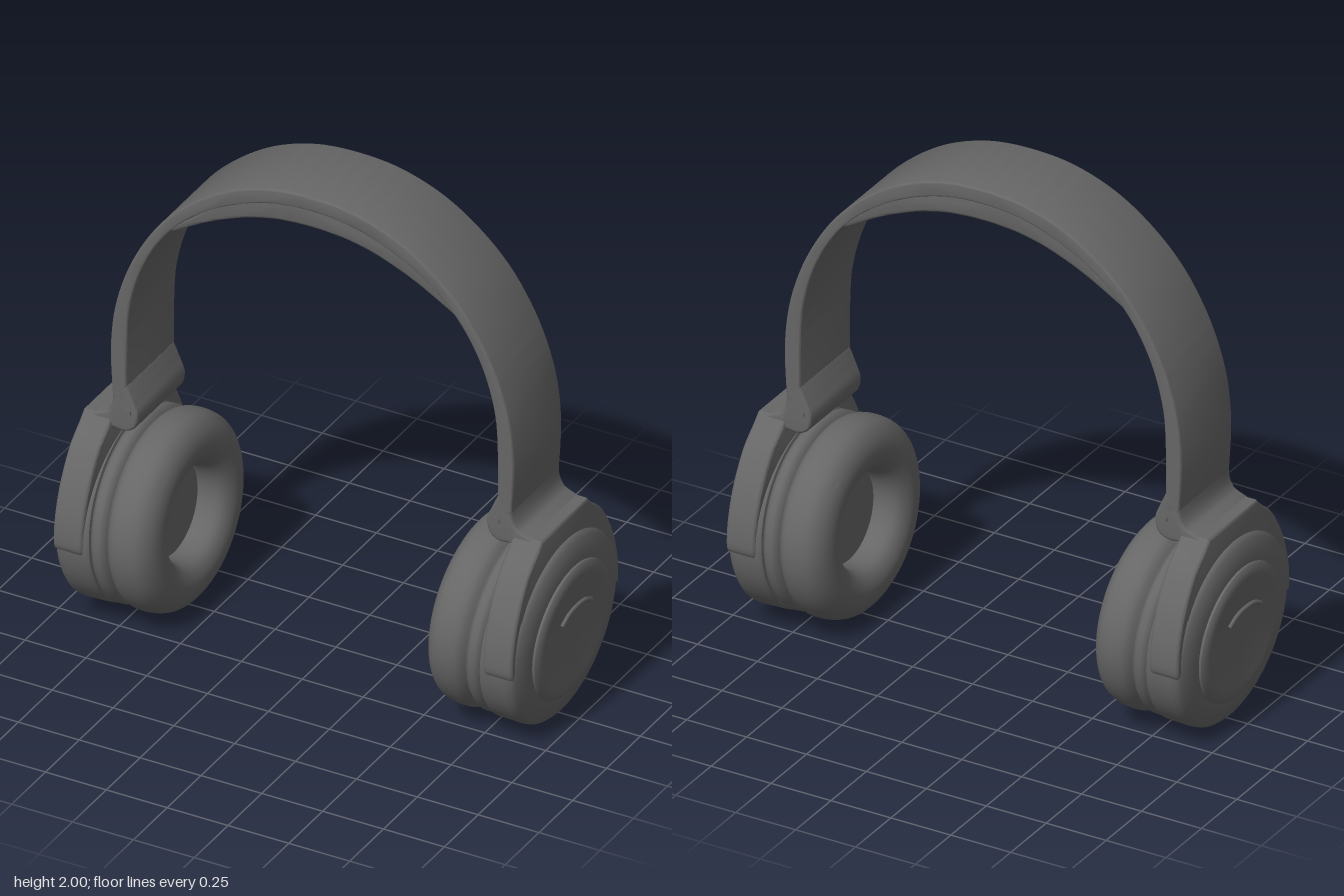
import * as THREE from 'three';
import { toCreasedNormals } from 'three/addons/utils/BufferGeometryUtils.js';

const V = (x, y) => new THREE.Vector2(x, y);
const spline = (pts, n) => new THREE.SplineCurve(pts.map(p => V(p[0], p[1]))).getPoints(n);
// full arch from the points of its right half (first point on the centre line)
const arch = (half, n = 80) => spline(
  [...half.slice(1).reverse().map(([x, y]) => [-x, y]), ...half], n);

function extrude(points, depth, bevel) {
  const g = new THREE.ExtrudeGeometry(new THREE.Shape(points), {
    depth: depth - 2 * bevel, bevelThickness: bevel, bevelSize: bevel,
    bevelOffset: -bevel, bevelSegments: 3, curveSegments: 24,
  });
  g.translate(0, 0, -depth / 2 + bevel);
  return toCreasedNormals(g, 0.7);
}

export function createModel() {
  const model = new THREE.Group();
  model.name = 'headphones';
  const grey = new THREE.MeshStandardMaterial({ color: 0x666666 });
  grey.name = 'dark grey';
  const add = (parent, name, geometry) => {
    const mesh = new THREE.Mesh(geometry, grey);
    mesh.name = name;
    parent.add(mesh);
    return mesh;
  };

  // Headband: a thin arch
  const outer = arch([[0, 2], [0.2, 1.978], [0.4, 1.895], [0.59, 1.74], [0.72, 1.55],
    [0.8, 1.34], [0.828, 1.13], [0.818, 0.9]]);
  const inner = arch([[0, 1.94], [0.2, 1.915], [0.4, 1.83], [0.57, 1.695], [0.685, 1.52],
    [0.748, 1.32], [0.762, 1.12], [0.762, 0.9]]);
  add(model, 'headband', extrude([...outer, ...inner.reverse()], 0.36, 0.008));

  // Padding under the crown
  const padTop = arch([[0, 1.97], [0.2, 1.945], [0.4, 1.86], [0.6, 1.695]], 40);
  const padBottom = arch([[0, 1.87], [0.2, 1.85], [0.4, 1.778], [0.61, 1.66]], 40);
  add(model, 'headbandPad', extrude([...padTop, ...padBottom.reverse()], 0.355, 0.012));

  // Small pins under the padding
  for (const [x, y, tilt] of [[0.245, 1.825, -0.5], [-0.4, 1.755, 0.6]]) {
    const pin = add(model, 'padPin', new THREE.CylinderGeometry(0.006, 0.006, 0.06, 10));
    pin.position.set(x, y, 0);
    pin.rotation.z = tilt;
  }

  // Lathe around the x axis, profile given as [radius, x], slightly flattened in height
  const pivot = 0.75;
  const turned = (profile, crease = 0.6) => {
    const g = new THREE.LatheGeometry(profile.map(p => V(p[0], p[1] - pivot)), 72);
    g.rotateZ(-Math.PI / 2);
    g.scale(1, 0.95, 1);
    return toCreasedNormals(g, crease);
  };

  function makeSide(name) {
    const side = new THREE.Group();
    side.name = name;

    // Hinge and shoulder between the headband and the fork
    const shoulder = spline([[0.818, 0.97], [0.82, 0.9], [0.84, 0.85], [0.885, 0.828],
      [0.93, 0.808], [0.943, 0.775]], 20);
    const knuckle = spline([[0.82, 0.785], [0.77, 0.78], [0.728, 0.805], [0.717, 0.86],
      [0.735, 0.91], [0.762, 0.97]], 20);
    add(side, 'hinge', extrude([...shoulder, V(0.943, 0.74), V(0.83, 0.74), ...knuckle], 0.36, 0.01));
    for (const s of [-1, 1]) {
      const screw = add(side, 'hingeScrew', new THREE.CylinderGeometry(0.015, 0.015, 0.012, 16));
      screw.rotation.x = Math.PI / 2;
      screw.position.set(0.757, 0.865, s * 0.18);
    }

    // Fork: arch gripping the cup from both sides
    const edge = [[0.17, 0.825], [0.205, 0.79], [0.28, 0.722], [0.35, 0.605], [0.388, 0.49],
      [0.399, 0.39], [0.388, 0.35], [0.368, 0.362]];
    const rightEdge = spline(edge, 40);
    const leftEdge = rightEdge.map(p => V(-p.x, p.y)).reverse();
    const cut = [];
    for (let i = 1; i < 40; i++) {
      const a = Math.PI * (1 - i / 40);
      cut.push(V(0.365 * Math.cos(a), 0.385 + 0.365 * Math.sin(a)));
    }
    const fork = extrude([...rightEdge, ...cut.reverse(), ...leftEdge], 0.12, 0.012);
    fork.rotateY(Math.PI / 2);
    fork.translate(0.883, 0, 0);
    add(side, 'fork', fork);

    // Ear cup, leaning inward at the bottom
    const cup = new THREE.Group();
    cup.name = 'earCup';
    cup.position.set(pivot, 0.381, 0);
    cup.rotation.z = -0.05;
    side.add(cup);

    const cushion = spline([[0.2, 0.70], [0.187, 0.65], [0.207, 0.585], [0.265, 0.556],
      [0.33, 0.564], [0.378, 0.60], [0.394, 0.655], [0.388, 0.71], [0.355, 0.742]], 32);
    add(cup, 'cushion', turned(cushion.map(p => [p.x, p.y]), 1));
    add(cup, 'speakerCover', turned([[0, 0.675], [0.21, 0.675]]));
    add(cup, 'cushionRing', turned([[0.34, 0.735], [0.372, 0.742], [0.386, 0.76], [0.386, 0.78],
      [0.376, 0.797], [0.35, 0.805]], 1));
    add(cup, 'cupBody', turned([[0.35, 0.798], [0.382, 0.803], [0.39, 0.815], [0.39, 0.905],
      [0.385, 0.93], [0.37, 0.945], [0.30, 0.962], [0, 0.964]]));
    add(cup, 'cupCap', turned([[0.282, 0.95], [0.279, 0.97], [0.268, 0.979], [0.24, 0.984],
      [0.225, 0.981], [0, 0.983]]));

    // Raised curved grip on the cap
    const arc = new THREE.CatmullRomCurve3([[-0.11, 0.075], [-0.06, 0.1], [0, 0.107],
      [0.06, 0.1], [0.11, 0.075]].map(([z, y]) => new THREE.Vector3(0.983 - pivot, y, z)));
    add(cup, 'capGrip', new THREE.TubeGeometry(arc, 24, 0.01, 8));
    return side;
  }

  const left = makeSide('leftSide');
  const right = makeSide('rightSide');
  right.rotation.y = Math.PI;
  model.add(left, right);
  return model;
}
